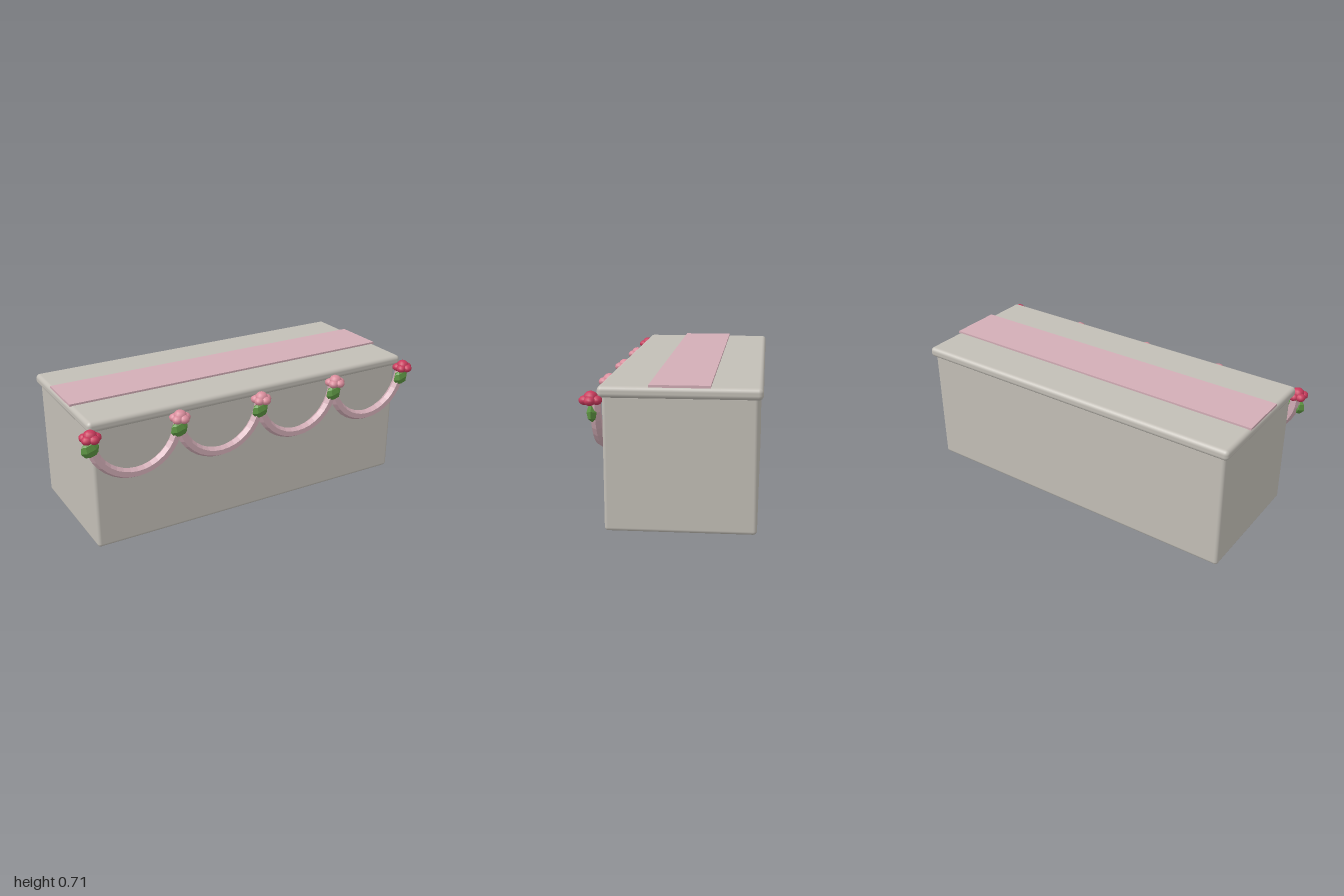
import * as THREE from 'three';
import { RoundedBoxGeometry } from 'three/addons/geometries/RoundedBoxGeometry.js';

const mat = (name, color, flatShading = false) => {
  const m = new THREE.MeshStandardMaterial({ color, flatShading });
  m.name = name;
  return m;
};

export function createModel() {
  const model = new THREE.Group();
  model.name = 'garlandedTable';
  const cloth = mat('warmGreyCloth', 0xc2beb6);
  const runnerPink = mat('dustyPink', 0xd2adb6);
  const swagPink = mat('swagPink', 0xd2adb6, true);
  const rosePink = mat('rosePink', 0xd98d9c);
  const crimson = mat('crimson', 0xc83a5c);
  const green = mat('leafGreen', 0x5c9342, true);

  const add = (parent, name, geometry, material, x, y, z) => {
    const mesh = new THREE.Mesh(geometry, material);
    mesh.name = name;
    mesh.position.set(x, y, z);
    parent.add(mesh);
    return mesh;
  };

  // Draped body, overhanging top and flat runner
  add(model, 'body', new RoundedBoxGeometry(1.85, 0.66, 0.72, 3, 0.018), cloth, 0, 0.33, -0.04);
  add(model, 'top', new RoundedBoxGeometry(1.89, 0.056, 0.76, 3, 0.022), cloth, 0, 0.672, -0.04);
  add(model, 'runner', new THREE.BoxGeometry(1.886, 0.012, 0.283), runnerPink, 0, 0.704, -0.041);

  // Hanging swags along the front
  const pitch = 0.4725;
  const frontZ = 0.343;
  const swag = new THREE.TorusGeometry(pitch / 2, 0.027, 6, 18, Math.PI).rotateZ(Math.PI);
  for (let i = 0; i < 4; i++) {
    add(model, 'swag', swag, swagPink, (i - 1.5) * pitch, 0.627, frontZ);
  }

  // Blossoms with a leaf below, at every swag end
  const petal = new THREE.SphereGeometry(0.027, 10, 8).scale(1, 0.82, 1);
  const heart = new THREE.SphereGeometry(0.034, 10, 8).scale(1, 0.85, 1);
  const leaf = new THREE.SphereGeometry(1, 6, 4).scale(0.049, 0.042, 0.027).rotateZ(0.3);
  for (let i = 0; i < 5; i++) {
    const flower = new THREE.Group();
    flower.name = 'flower';
    flower.position.set((i - 2) * pitch, 0.637, 0.364);
    const color = i % 4 === 0 ? crimson : rosePink;
    for (let k = 0; k < 5; k++) {
      const a = (k / 5) * Math.PI * 2;
      add(flower, 'petal', petal, color, Math.cos(a) * 0.029, 0, Math.sin(a) * 0.029);
    }
    add(flower, 'flowerHeart', heart, color, 0, 0.013, 0);
    add(flower, 'leaf', leaf, green, -0.003, -0.062, -0.006);
    model.add(flower);
  }
  return model;
}
